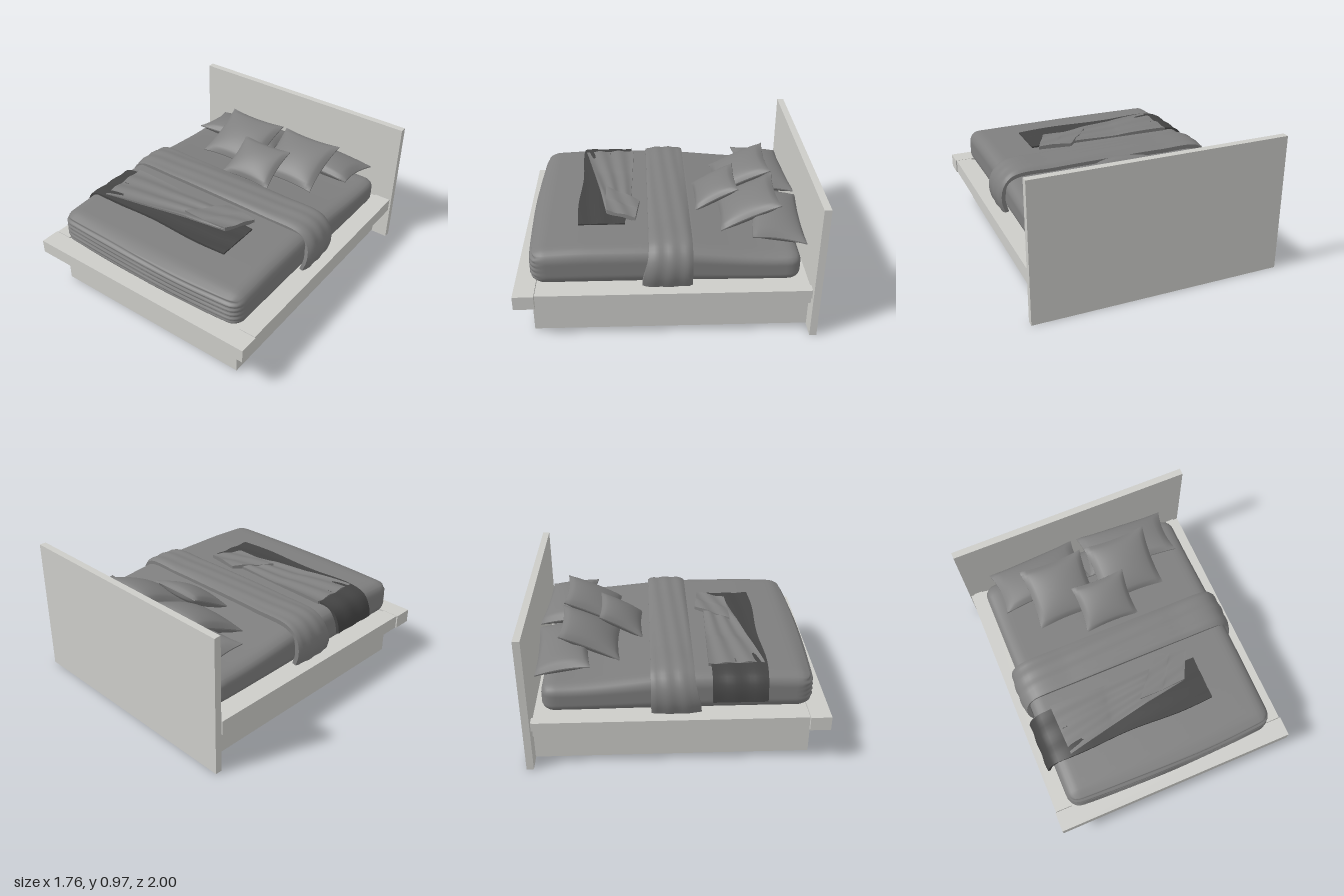
import * as THREE from 'three';
import { mergeVertices } from 'three/addons/utils/BufferGeometryUtils.js';

const mat = (name, color) => new THREE.MeshStandardMaterial({ name, color });
const { clamp, smoothstep, lerp } = THREE.MathUtils;

// Moves every vertex of a geometry by a rule p => [x, y, z]
function deform(geo, rule) {
  const pos = geo.attributes.position, p = new THREE.Vector3();
  for (let i = 0; i < pos.count; i++) {
    p.fromBufferAttribute(pos, i);
    pos.setXYZ(i, ...rule(p));
  }
  geo.computeVertexNormals();
  return geo;
}

// Closed soft slab: s and t run -1..1 across, side is -1 below and +1 above
const slab = (ns, nt, rule) =>
  deform(new THREE.BoxGeometry(2, 2, 2, ns, 1, nt), p => rule(p.x, p.z, p.y));

// Plump cushion with pinched edges and a thin seam
function cushion(w, d, h) {
  return slab(20, 20, (s, t, side) => {
    const puff = Math.pow((1 - s * s) * (1 - t * t), 0.5);
    return [
      s * w / 2 * (1 - 0.08 * (1 - t * t)),
      side * (0.004 + h / 2 * puff),
      t * d / 2 * (1 - 0.08 * (1 - s * s)),
    ];
  });
}

// Mattress height falls gently towards the headboard
const topAt = z => 0.62 - 0.065 * (1 - smoothstep(z, -0.75, 0.15)) - 0.015 * smoothstep(z, 0.5, 0.9);

function mattressGeometry() {
  const half = [0.765, 0.13, 0.885], r = 0.085;
  let geo = new THREE.BoxGeometry(1.53, 0.26, 1.77, 48, 28, 52);
  geo.deleteAttribute('uv');
  geo.deleteAttribute('normal');
  geo = mergeVertices(geo);
  return deform(geo, p => {
    const inner = new THREE.Vector3(...p.toArray().map((c, i) => clamp(c, r - half[i], half[i] - r)));
    const q = p.clone().sub(inner).normalize().multiplyScalar(r).add(inner);
    const v = (q.y + 0.13) / 0.26;
    const front = smoothstep(q.z, 0.81, 0.88);
    // bowed front with stacked horizontal folds
    const bow = front * 0.03 * (1 - (q.x / 0.77) ** 2);
    const fold = front * 0.007 * Math.sin(v * 44 + 0.7 * Math.sin(q.x * 5));
    const z = q.z + bow + fold;
    return [q.x, 0.355 + v * (topAt(q.z) - 0.355), z];
  });
}

// Cloth laid along a path in the xy plane; edges(s, x, y) gives its z range
function drape(points, ns, nt, thick, edges, ripple) {
  const curve = new THREE.CatmullRomCurve3(points.map(([x, y]) => new THREE.Vector3(x, y, 0)));
  return slab(ns, nt, (s, t, side) => {
    const u = (s + 1) / 2, c = curve.getPointAt(u), d = curve.getTangentAt(u);
    const [z0, z1] = edges(c.x, c.y);
    const z = lerp(z0, z1, (t + 1) / 2);
    const off = side > 0 ? ripple(c.x, t) : -thick;
    return [c.x - d.y * off, c.y + d.x * off, z];
  });
}

// Cloth patch between a back edge and a front edge, each a list of [x, z]
function patch(back, front, y, thick, ripple) {
  const line = pts => new THREE.CatmullRomCurve3(pts.map(([x, z]) => new THREE.Vector3(x, 0, z)), false, 'catmullrom', 0.1);
  const a = line(back), b = line(front);
  return slab(32, 20, (s, t, side) => {
    const u = (s + 1) / 2;
    const p = a.getPoint(u).lerp(b.getPoint(u), (t + 1) / 2);
    return [p.x, y + (side > 0 ? thick + ripple(s, t) : 0), p.z];
  });
}

export function createModel() {
  const model = new THREE.Group();
  model.name = 'bed';
  const wood = mat('pale frame', 0xcdcdc9);
  const linen = mat('grey bedding', 0x7f7f7f);
  const dark = mat('dark throw', 0x444444);

  const add = (name, geo, material, position = [0, 0, 0], rotation = [0, 0, 0]) => {
    const mesh = new THREE.Mesh(geo, material);
    mesh.name = name;
    mesh.position.set(...position);
    mesh.rotation.set(...rotation);
    model.add(mesh);
  };
  const box = (name, [x0, x1], [y0, y1], [z0, z1]) =>
    add(name, new THREE.BoxGeometry(x1 - x0, y1 - y0, z1 - z0), wood,
      [(x0 + x1) / 2, (y0 + y1) / 2, (z0 + z1) / 2]);

  // Frame
  box('headboard', [-0.88, 0.88], [0, 0.97], [-1, -0.952]);
  box('plinth', [-0.76, 0.76], [0.01, 0.27], [-0.952, 0.89]);
  box('deck', [-0.76, 0.76], [0.27, 0.35], [-0.94, 0.86]);
  box('frontRail', [-0.88, 0.88], [0.264, 0.362], [0.862, 1]);
  for (const [side, x] of [['left', 0.815], ['right', -0.815]]) {
    box(side + 'Rail', [x - 0.058, x + 0.058], [0.264, 0.362], [-0.937, 0.858]);
    box(side + 'Bracket', [x - 0.03, x + 0.03], [0.28, 0.345], [-0.955, -0.93]);
  }

  // Mattress and the band folded across it
  add('mattress', mattressGeometry(), linen);
  const halfBand = [[0.775, 0.362], [0.797, 0.45], [0.78, 0.55], [0.71, 0.622], [0.4, 0.637]];
  const bandPath = [...halfBand.map(([x, y]) => [-x, y]), [0, 0.64], ...halfBand.slice().reverse()];
  add('blanketBand', drape(bandPath, 64, 16, 0.025,
    (x, y) => [-0.17, 0.115 + 0.045 * (1 - smoothstep(y, 0.36, 0.63))],
    (x, t) => 0.003 + 0.018 * Math.sqrt(1 - t * t) + 0.003 * Math.sin(t * 9 + x * 3)), linen);

  // Dark throw hanging over one side
  const throwPath = [[-0.815, 0.455], [-0.8, 0.53], [-0.755, 0.6], [-0.66, 0.632], [-0.3, 0.632], [0.1, 0.63], [0.43, 0.625]];
  add('throwBlanket', drape(throwPath, 48, 12, 0.018,
    x => [lerp(0.23, 0.27, smoothstep(x, -0.6, 0.43)), 0.59 + 0.008 * Math.sin(x * 8)],
    (x, t) => 0.004 + 0.003 * Math.sin(t * 7 + x * 4)), dark);

  // Lighter layer folded back over the throw
  add('throwFold', patch(
    [[-0.64, 0.21], [-0.25, 0.22], [0.1, 0.23], [0.39, 0.22]],
    [[-0.63, 0.58], [-0.3, 0.51], [0, 0.45], [0.3, 0.4]], 0.625, 0.022,
    (s, t) => 0.006 * Math.sin(t * 8 + s * 2) + 0.003 * Math.sin(s * 7)), linen);
  add('throwCorner', patch(
    [[0.16, 0.17], [0.28, 0.185], [0.4, 0.2]],
    [[-0.04, 0.41], [0.13, 0.41], [0.3, 0.4]], 0.63, 0.027,
    (s, t) => 0.004 * Math.sin(t * 5 + s * 3)), linen);

  // Pillows and cushions
  for (const [side, k] of [['left', 1], ['right', -1]]) {
    add(side + 'Pillow', cushion(0.67, 0.36, 0.14), linen, [k * 0.345, 0.625, -0.76], [-0.13, k * -0.06, 0]);
    add(side + 'Cushion', cushion(0.47, 0.44, 0.13), linen, [k * 0.25, 0.68, -0.575], [0.43, 0, 0]);
  }
  add('smallCushion', cushion(0.4, 0.34, 0.11), linen, [0.015, 0.672, -0.368], [0.5, 0, 0]);

  return model;
}
